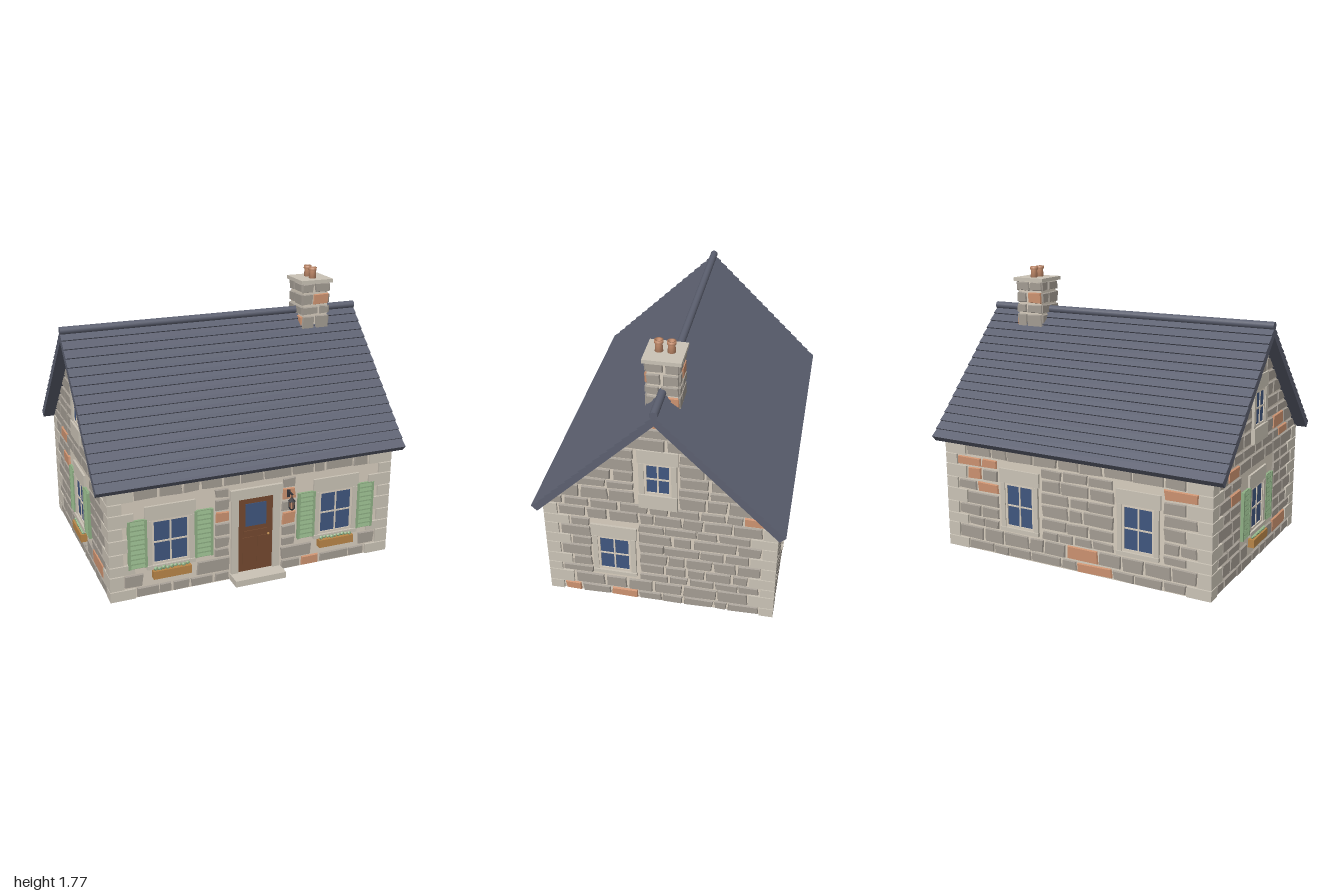
import * as THREE from 'three';
import { mergeGeometries } from 'three/addons/utils/BufferGeometryUtils.js';

const ZC = -0.02;      // ridge line
const HX = 0.915;      // half length of the walls
const HZ = 0.695;      // half depth of the walls
const APEX = 1.42;     // gable tip, slopes fall at 45 degrees
const EAVE = APEX - HZ;
const ROWS = [0.07, 0.095, 0.065, 0.08, 0.09, 0.075, 0.085, 0.07, 0.085];

let seed = 7;
const rand = () => (seed = (seed * 16807) % 2147483647) / 2147483647;

const material = (name, color, side = THREE.FrontSide) => {
  const m = new THREE.MeshStandardMaterial({ color, side });
  m.name = name;
  return m;
};
const M = {
  mortar: material('mortar', 0xd8cebe, THREE.DoubleSide),
  dressed: material('dressedStone', 0xcac3b6),
  stone: material('greyStone', 0xa39c93),
  brick: material('terracotta', 0xcc9270),
  slate: material('slate', 0x5c6070),
  green: material('shutterGreen', 0x8fb085),
  glass: material('glass', 0x40567f),
  door: material('doorBrown', 0x74492f),
  wood: material('planterWood', 0xb98648),
  metal: material('darkMetal', 0x35363c),
};

function add(parent, name, geo, mat, x = 0, y = 0, z = 0) {
  const mesh = new THREE.Mesh(geo, mat);
  mesh.name = name;
  mesh.position.set(x, y, z);
  parent.add(mesh);
  return mesh;
}
function box(parent, name, mat, x0, x1, y0, y1, z0, z1) {
  return add(parent, name, new THREE.BoxGeometry(x1 - x0, y1 - y0, z1 - z0), mat,
    (x0 + x1) / 2, (y0 + y1) / 2, (z0 + z1) / 2);
}
function group(parent, name, x = 0, y = 0, z = 0, turn = 0) {
  const g = new THREE.Group();
  g.name = name;
  g.position.set(x, y, z);
  g.rotation.y = turn;
  parent.add(g);
  return g;
}

// One rough block: a box whose corners are nudged and whose face is slightly smaller
function block(x0, x1, y0, y1, lim) {
  const jit = () => (rand() - 0.5) * 0.012;
  const corners = [[x0, y0], [x1, y0], [x0, y1], [x1, y1]].map(([x, y]) => [x + jit(), y + jit() * 0.6]);
  const geo = new THREE.BoxGeometry(1, 1, 1);
  const p = geo.attributes.position;
  const cx = (x0 + x1) / 2, cy = (y0 + y1) / 2;
  for (let i = 0; i < p.count; i++) {
    const front = p.getZ(i) > 0;
    let [x, y] = corners[(p.getX(i) > 0 ? 1 : 0) + (p.getY(i) > 0 ? 2 : 0)];
    if (front) { x -= Math.sign(x - cx) * 0.004; y -= Math.sign(y - cy) * 0.004; }
    const l = Math.max(lim(y), 0.002);
    p.setXYZ(i, Math.min(l, Math.max(-l, x)), y, front ? 0.014 : 0.001);
  }
  const flat = geo.toNonIndexed();
  flat.computeVertexNormals();
  return flat;
}

// Coursed stonework on a wall; holes are [x0, x1, y0, y1], accents are points
function stonework(wall, { y0 = 0, top, span, lim, holes = [], accents = [], size = 0.15 }) {
  const grey = [], warm = [];
  for (let i = 0, y = y0; y < top - 0.02; i++) {
    const h = Math.min(ROWS[i % ROWS.length], top - y);
    let runs = [[-span(i, y), span(i, y)]];
    for (const [a, b, c, d] of holes) {
      if (c > y + h - 0.02 || d < y + 0.02) continue;
      runs = runs.flatMap(([s, e]) => (b <= s || a >= e ? [[s, e]] : [[s, a], [b, e]]));
    }
    for (const [s, e] of runs) {
      if (e - s < 0.03) continue;
      const n = Math.max(1, Math.round((e - s) / (size * (0.85 + rand() * 0.3))));
      const cuts = Array.from({ length: n + 1 }, (_, k) =>
        s + (e - s) * (k + (k && k < n ? (rand() - 0.5) * 0.55 : 0)) / n);
      for (let k = 0; k < n; k++) {
        const hit = accents.some(([u, v]) => u > cuts[k] && u < cuts[k + 1] && v > y && v < y + h);
        (hit ? warm : grey).push(block(cuts[k] + 0.006, cuts[k + 1] - 0.006, y + 0.006, y + h - 0.006, lim));
      }
    }
    y += h;
  }
  if (grey.length) add(wall, 'stones', mergeGeometries(grey), M.stone);
  if (warm.length) add(wall, 'accentStones', mergeGeometries(warm), M.brick);
}

// Four-pane window with lintel, sill and jambs, centred on x, glass w by h
function windowUnit(wall, x, y, w, h, sillDrop = 0.025) {
  const g = group(wall, 'window', x, y);
  const a = w / 2, b = h / 2, f = 0.014;
  box(g, 'glass', M.glass, -a, a, -b, b, 0.001, 0.005);
  for (const s of [-1, 1]) {
    box(g, 'jamb', M.dressed, s * (a + 0.016) - 0.016, s * (a + 0.016) + 0.016, -b, b, 0.001, 0.018);
    box(g, 'frameSide', M.mortar, s * (a - f / 2) - f / 2, s * (a - f / 2) + f / 2, -b, b, 0.004, 0.012);
    box(g, 'frameRail', M.mortar, -a, a, s * (b - f / 2) - f / 2, s * (b - f / 2) + f / 2, 0.004, 0.012);
  }
  box(g, 'mullion', M.mortar, -0.005, 0.005, -b, b, 0.004, 0.01);
  box(g, 'crossbar', M.mortar, -a, a, -0.005, 0.005, 0.004, 0.01);
  box(g, 'lintel', M.dressed, -a - 0.04, a + 0.04, b, b + 0.09, 0.001, 0.015);
  box(g, 'sill', M.dressed, -a - 0.035, a + 0.035, -b - sillDrop, -b, 0.001, 0.026);
}
function shutters(wall, x, y, half, h) {
  for (const s of [-1, 1]) {
    const g = group(wall, 'shutter', x + s * (half + 0.06), y);
    box(g, 'panel', M.green, -0.058, 0.058, -h / 2, h / 2, 0.001, 0.016);
    for (const e of [-1, 1]) box(g, 'stile', M.green, e * 0.051 - 0.008, e * 0.051 + 0.008, -h / 2, h / 2, 0.016, 0.022);
    for (let i = 0; i < 10; i++) {
      add(g, 'louvre', new THREE.BoxGeometry(0.088, 0.02, 0.005), M.green,
        0, (i - 4.5) * h / 10, 0.018).rotation.x = -0.35;
    }
  }
}
function planter(wall, x) {
  const g = group(wall, 'planter', x);
  box(g, 'trough', M.wood, -0.12, 0.12, 0.122, 0.174, 0.005, 0.045);
  for (let i = 0; i < 9; i++) {
    add(g, 'plant', new THREE.IcosahedronGeometry(0.012 + rand() * 0.004, 0), M.green,
      (i - 4) * 0.025, 0.18 + rand() * 0.008, 0.024);
  }
}

export function createModel() {
  const house = new THREE.Group();
  house.name = 'stoneCottage';

  // Wall shells, open at the bottom
  const front = group(house, 'frontWall', 0, 0, ZC + HZ, 0);
  const back = group(house, 'backWall', 0, 0, ZC - HZ, Math.PI);
  const left = group(house, 'leftGable', HX, 0, ZC, Math.PI / 2);
  const right = group(house, 'rightGable', -HX, 0, ZC, -Math.PI / 2);
  for (const w of [front, back]) add(w, 'wallFace', new THREE.PlaneGeometry(2 * HX, EAVE), M.mortar, 0, EAVE / 2);
  const gable = new THREE.Shape([[-HZ, 0], [HZ, 0], [HZ, EAVE], [0, APEX], [-HZ, EAVE]].map(p => new THREE.Vector2(...p)));
  for (const w of [left, right]) add(w, 'gableFace', new THREE.ShapeGeometry(gable), M.mortar);
  for (const s of [-1, 1]) {
    add(house, 'ceilingSlope', new THREE.PlaneGeometry(2 * HX, HZ * Math.SQRT2), M.mortar,
      0, (APEX + EAVE) / 2 - 0.004, ZC + s * HZ / 2).rotation.x = -s * Math.PI / 4;
  }

  // Stone courses around the openings
  const longSpan = i => HX - (i % 2 ? 0.075 : 0.145);
  const gableSpan = (i, y) => y < EAVE - 0.04 ? HZ - (i % 2 ? 0.145 : 0.075) : Math.min(HZ, APEX - 0.012 - y);
  const gableLim = y => Math.min(HZ, APEX - 0.012 - y);
  stonework(front, {
    top: EAVE, span: longSpan, lim: () => HX,
    holes: [[-0.84, -0.27, 0.19, 0.59], [-0.72, -0.39, 0.09, 0.2], [0.27, 0.84, 0.19, 0.59],
      [0.39, 0.72, 0.09, 0.2], [-0.17, 0.17, 0, 0.6]],
    accents: [[0.4, 0.03], [0.23, 0.53], [0.21, 0.37], [0.71, 0.62], [-0.23, 0.45]],
  });
  stonework(back, {
    top: EAVE, span: longSpan, lim: () => HX,
    holes: [[-0.53, -0.21, 0.18, 0.59], [0.3, 0.62, 0.18, 0.59]],
    accents: [[-0.72, 0.53], [-0.62, 0.62], [-0.6, 0.44], [0.02, 0.1], [0.72, 0.59], [0.1, 0.03], [-0.8, 0.62]],
  });
  const upper = [-0.14, 0.12, 0.78, 1.2];
  stonework(left, {
    top: APEX - 0.01, span: gableSpan, lim: gableLim, size: 0.165,
    holes: [[-0.42, -0.13, 0.2, 0.59], upper],
    accents: [[-0.54, 0.03], [-0.24, 0.03], [0.53, 0.74], [0, 1.39]],
  });
  stonework(right, {
    top: APEX - 0.01, span: gableSpan, lim: gableLim, size: 0.165,
    holes: [[-0.28, 0.28, 0.19, 0.59], [-0.15, 0.15, 0.1, 0.2], upper],
    accents: [[0.45, 0.74], [-0.4, 0.53], [0.3, 0.86], [0.4, 0.1], [-0.45, 0.67]],
  });

  // Corner quoins, alternating long and short
  for (const sx of [-1, 1]) for (const sz of [-1, 1]) {
    const corner = group(house, 'quoins', sx * (HX + 0.015), 0, ZC + sz * (HZ + 0.015));
    let y = 0;
    ROWS.forEach((h, i) => {
      const lx = i % 2 ? 0.085 : 0.155, lz = i % 2 ? 0.155 : 0.085, t = 0.0145;
      box(corner, 'quoin', M.dressed, Math.min(0, -sx * lx), Math.max(0, -sx * lx), y + 0.003, y + h - 0.003,
        Math.min(-sz * t, 0), Math.max(-sz * t, 0));
      box(corner, 'quoinReturn', M.dressed, Math.min(-sx * t, 0), Math.max(-sx * t, 0), y + 0.003, y + h - 0.003,
        Math.min(0, -sz * lz), Math.max(0, -sz * lz));
      y += h;
    });
  }

  // Windows, shutters and planters
  for (const x of [-0.55, 0.545]) {
    windowUnit(front, x, 0.35, 0.235, 0.29);
    shutters(front, x, 0.355, 0.147, 0.31);
    planter(front, x);
  }
  for (const x of [-0.37, 0.46]) windowUnit(back, x, 0.35, 0.21, 0.29);
  windowUnit(left, -0.28, 0.36, 0.205, 0.27);
  windowUnit(right, 0, 0.36, 0.205, 0.28);
  shutters(right, 0, 0.36, 0.132, 0.31);
  planter(right, 0);
  for (const w of [left, right]) windowUnit(w, 0, 0.99, 0.16, 0.225, 0.1);

  // Door with surround and step
  const door = group(front, 'door');
  box(door, 'leaf', M.door, -0.118, 0.112, 0.04, 0.535, -0.006, 0.006);
  box(door, 'pane', M.glass, -0.07, 0.068, 0.345, 0.495, 0.006, 0.01);
  for (const x of [-0.052, 0.046]) box(door, 'lowerPanel', M.door, x - 0.036, x + 0.036, 0.09, 0.27, 0.006, 0.011);
  box(door, 'midRail', M.door, -0.08, 0.075, 0.295, 0.315, 0.006, 0.012);
  add(door, 'knob', new THREE.SphereGeometry(0.008, 10, 8), M.wood, 0.082, 0.275, 0.014);
  box(door, 'jamb', M.dressed, -0.163, -0.118, 0.04, 0.535, 0.001, 0.018);
  box(door, 'jamb', M.dressed, 0.112, 0.157, 0.04, 0.535, 0.001, 0.018);
  box(door, 'lintel', M.dressed, -0.172, 0.172, 0.535, 0.6, 0.001, 0.022);
  box(door, 'step', M.dressed, -0.17, 0.165, 0, 0.04, 0.001, 0.11);

  // Wall lantern
  const lamp = group(front, 'lantern', 0.213, 0, 0.063);
  box(lamp, 'bracket', M.metal, -0.005, 0.005, 0.535, 0.543, -0.062, 0.006);
  box(lamp, 'backplate', M.metal, -0.01, 0.01, 0.5, 0.55, -0.062, -0.046);
  add(lamp, 'brace', new THREE.BoxGeometry(0.006, 0.045, 0.006), M.metal, 0, 0.522, -0.036).rotation.x = 0.8;
  add(lamp, 'hanger', new THREE.CylinderGeometry(0.003, 0.003, 0.03, 6), M.metal, 0, 0.525, 0);
  add(lamp, 'hood', new THREE.CylinderGeometry(0.007, 0.024, 0.022, 6), M.metal, 0, 0.503, 0);
  add(lamp, 'light', new THREE.CylinderGeometry(0.017, 0.014, 0.046, 6), M.brick, 0, 0.469, 0);
  add(lamp, 'base', new THREE.CylinderGeometry(0.019, 0.014, 0.01, 6), M.metal, 0, 0.442, 0);
  for (let i = 0; i < 6; i++) {
    const a = i * Math.PI / 3;
    add(lamp, 'bar', new THREE.BoxGeometry(0.004, 0.046, 0.004), M.metal, Math.sin(a) * 0.017, 0.469, Math.cos(a) * 0.017);
  }

  // Roof slopes: a saw-tooth section of slate courses drawn along the ridge
  const courses = 17, length = 0.75 * Math.SQRT2, c = Math.SQRT1_2;
  for (const s of [-1, 1]) {
    const at = (d, n) => new THREE.Vector2(-s * (d + n) * c, 1.48 + (n - d) * c);
    const pts = [new THREE.Vector2(0, 1.48)];
    for (let i = 1; i <= courses; i++) {
      const d = length * i / courses;
      pts.push(at(d, 0.01));
      pts.push(at(d, i < courses ? 0 : -0.04));
    }
    pts.push(new THREE.Vector2(0, 1.48 - 0.04 * Math.SQRT2));
    const geo = new THREE.ExtrudeGeometry(new THREE.Shape(pts), { depth: 2, bevelEnabled: false });
    add(house, 'roofSlope', geo.rotateY(Math.PI / 2), M.slate, -1, 0, ZC);
  }
  add(house, 'ridgeCap', new THREE.CylinderGeometry(0.024, 0.024, 2, 14).rotateZ(Math.PI / 2), M.slate, 0, 1.491, ZC);

  // Chimney
  const chimney = group(house, 'chimney', 0.672, 0, ZC);
  const cw = 0.088;
  box(chimney, 'core', M.mortar, -cw, cw, 1.3, 1.68, -cw, cw);
  for (let i = 0; i < 4; i++) {
    const a = i * Math.PI / 2;
    const face = group(chimney, 'chimneyFace', Math.sin(a) * cw, 0, Math.cos(a) * cw, a);
    stonework(face, {
      y0: 1.3, top: 1.68, span: () => cw + 0.011, lim: () => cw + 0.012, size: 0.1,
      accents: [[0.05, i % 2 ? 1.42 : 1.57]],
    });
  }
  box(chimney, 'cap', M.dressed, -0.112, 0.112, 1.677, 1.7, -0.112, 0.112);
  const pot = [[0, 0], [0.024, 0], [0.02, 0.05], [0.026, 0.052], [0.026, 0.07], [0.017, 0.07], [0.015, 0.03], [0, 0.03]]
    .map(p => new THREE.Vector2(...p));
  for (const z of [-0.036, 0.036]) add(chimney, 'chimneyPot', new THREE.LatheGeometry(pot, 16), M.brick, 0, 1.7, z);

  return house;
}
